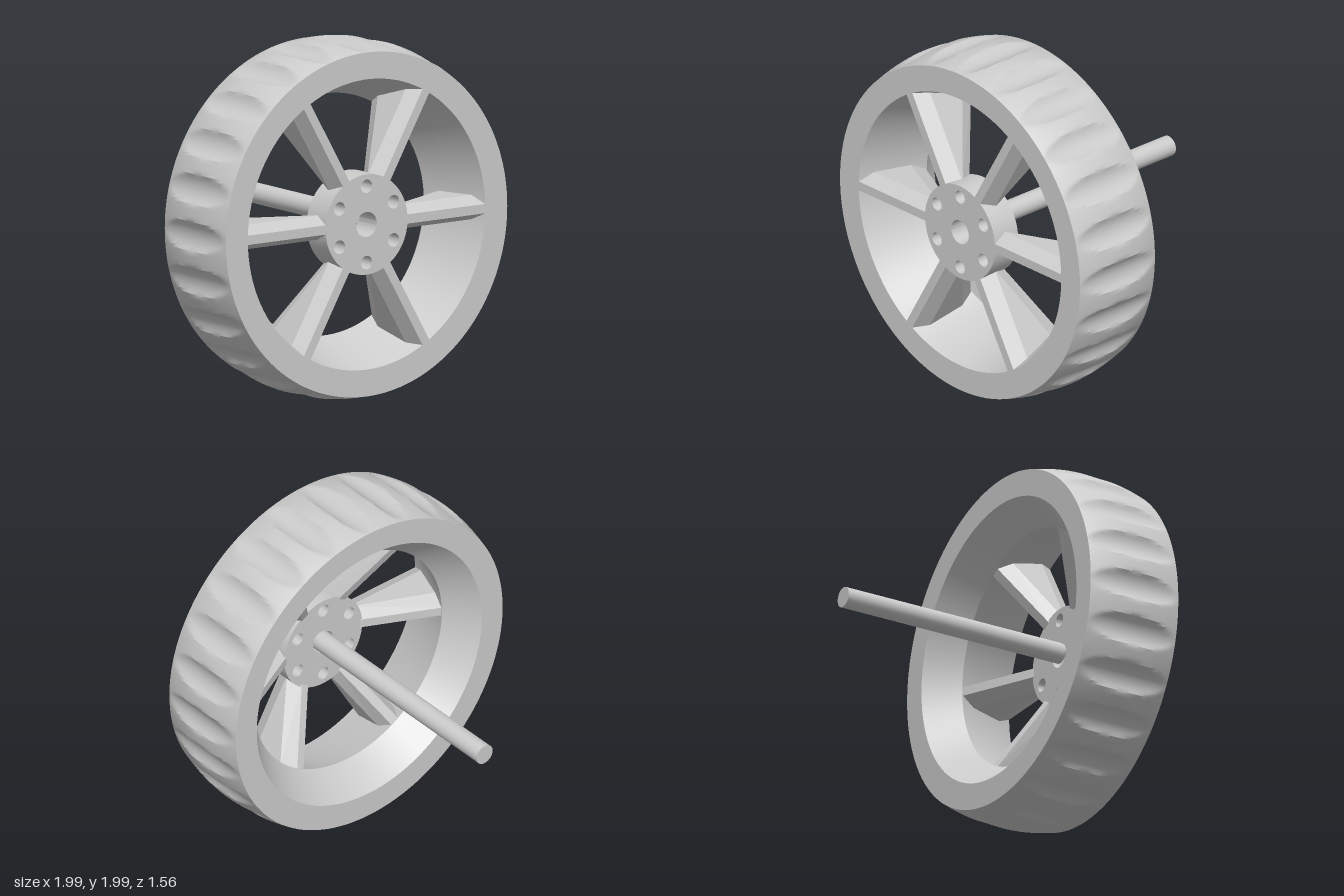
import * as THREE from 'three';
import { toCreasedNormals } from 'three/addons/utils/BufferGeometryUtils.js';

const FRONT = 0.78, BACK = 0.215, MID = (FRONT + BACK) / 2;
const WAIST_Z = 0.395, WAIST_R = 0.675, MOUTH_R = 0.81, SIDE_R = 0.96;
const material = new THREE.MeshStandardMaterial({ color: 0xcccccc });

function addMesh(parent, name, geometry) {
  const mesh = new THREE.Mesh(geometry, material);
  mesh.name = name;
  parent.add(mesh);
  return mesh;
}

// Radius of the scooped grooves at a given angle; 24 round cutters circle the tread
function grooveRadius(angle) {
  const step = Math.PI / 12, distance = 1.091, cutter = 0.128;
  const a = angle - Math.round(angle / step) * step;
  const s = distance * Math.sin(a);
  if (Math.abs(s) >= cutter) return Infinity;
  return distance * Math.cos(a) - Math.sqrt(cutter * cutter - s * s);
}

// Tyre and rim: crowned tread outside, two cones meeting at a waist inside
function rimGeometry() {
  const profile = [];
  const rows = 28;
  for (let i = 0; i <= rows; i++) {
    const t = (i / rows) * 2 - 1;
    profile.push(new THREE.Vector2(SIDE_R + 0.04 * (1 - t * t), MID + (t * (FRONT - BACK)) / 2));
  }
  profile.push(
    new THREE.Vector2(MOUTH_R, FRONT),
    new THREE.Vector2(WAIST_R, WAIST_Z),
    new THREE.Vector2(MOUTH_R, BACK),
    new THREE.Vector2(SIDE_R, BACK)
  );
  const geometry = new THREE.LatheGeometry(profile, 384);
  const p = geometry.attributes.position;
  for (let i = 0; i < p.count; i++) {
    const x = p.getX(i), z = p.getZ(i), r = Math.hypot(x, z);
    if (r < 0.9) continue;
    const k = Math.min(r, grooveRadius(Math.atan2(x, z))) / r;
    p.setX(i, x * k);
    p.setZ(i, z * k);
  }
  geometry.rotateX(Math.PI / 2);
  return toCreasedNormals(geometry, 0.45);
}

// Hub disc with a centre bore and six bolt holes
function hubGeometry() {
  const shape = new THREE.Shape().absarc(0, 0, 0.28, 0, Math.PI * 2);
  const hole = (x, y, r) => shape.holes.push(new THREE.Path().absarc(x, y, r, 0, Math.PI * 2, true));
  hole(0, 0, 0.07);
  for (let i = 0; i < 6; i++) {
    const a = Math.PI / 6 + (i * Math.PI) / 3;
    hole(0.213 * Math.cos(a), 0.213 * Math.sin(a), 0.038);
  }
  const geometry = new THREE.ExtrudeGeometry(shape, { depth: 0.175, bevelEnabled: false, curveSegments: 32 });
  geometry.translate(0, 0, FRONT - 0.175);
  return toCreasedNormals(geometry, 0.6);
}

// Spoke: six-sided section that deepens toward the rim and ends on its cone
function spokeGeometry() {
  const narrow = 0.026, wide = 0.068, chamfer = 0.085;
  const section = (back) => [
    [narrow, FRONT], [-narrow, FRONT], [-wide, FRONT - chamfer],
    [-wide, back + chamfer], [-narrow, back], [narrow, back],
    [wide, back + chamfer], [wide, FRONT - chamfer],
  ];
  const coneRadius = (z) => WAIST_R + ((MOUTH_R - WAIST_R) * (z - WAIST_Z)) / (FRONT - WAIST_Z);
  const inner = section(0.607).map(([y, z]) => [0.26, y, z]);
  const outer = section(0.4).map(([y, z]) => [coneRadius(z) + 0.002, y, z]);
  const positions = [];
  const n = inner.length;
  for (let i = 0; i < n; i++) {
    const j = (i + 1) % n;
    positions.push(...inner[i], ...inner[j], ...outer[j], ...inner[i], ...outer[j], ...outer[i]);
  }
  const geometry = new THREE.BufferGeometry();
  geometry.setAttribute('position', new THREE.Float32BufferAttribute(positions, 3));
  // Turn the faces outward if the loop runs the other way
  geometry.computeVertexNormals();
  if (geometry.attributes.normal.getZ(0) < 0) {
    const p = geometry.attributes.position;
    for (let i = 0; i < p.count; i += 3) {
      const a = new THREE.Vector3().fromBufferAttribute(p, i + 1);
      const b = new THREE.Vector3().fromBufferAttribute(p, i + 2);
      p.setXYZ(i + 1, b.x, b.y, b.z);
      p.setXYZ(i + 2, a.x, a.y, a.z);
    }
    geometry.computeVertexNormals();
  }
  return geometry;
}

export function createModel() {
  const model = new THREE.Group();
  model.name = 'wheelWithAxle';

  const wheel = new THREE.Group();
  wheel.name = 'wheel';
  wheel.position.y = 1;
  model.add(wheel);

  addMesh(wheel, 'tyreAndRim', rimGeometry());
  addMesh(wheel, 'hub', hubGeometry());

  const spoke = spokeGeometry();
  for (let i = 0; i < 6; i++) {
    addMesh(wheel, 'spoke', spoke).rotation.z = (i * Math.PI) / 3;
  }

  // Axle rod sits slightly off centre in the bore
  const axleFront = 0.62, axleBack = -0.78;
  const axle = new THREE.CylinderGeometry(0.058, 0.058, axleFront - axleBack, 32);
  axle.rotateX(Math.PI / 2);
  addMesh(wheel, 'axle', axle).position.set(0.015, 0.02, (axleFront + axleBack) / 2);

  return model;
}
